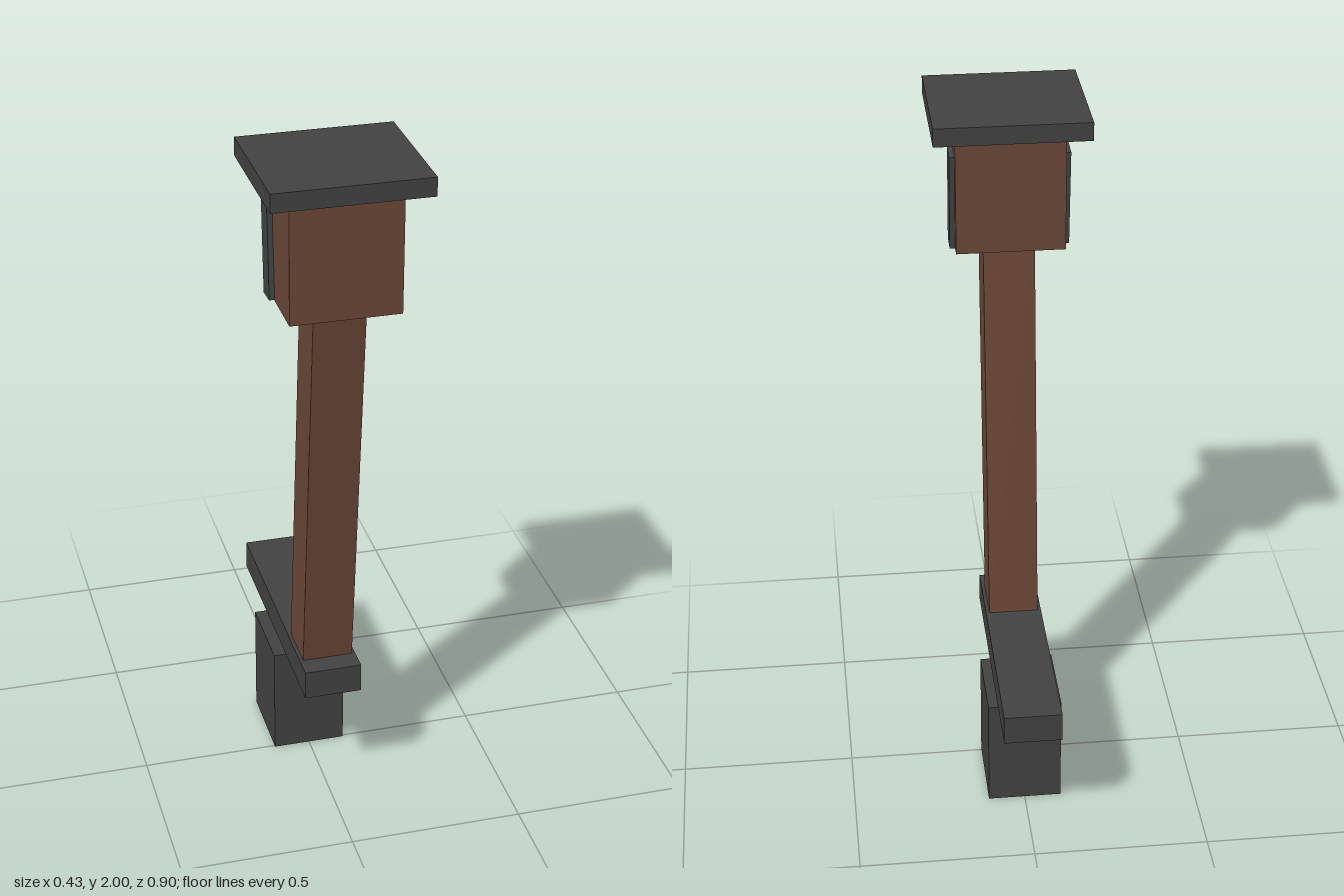
import * as THREE from 'three';

const mat = (name, color) => {
  const m = new THREE.MeshStandardMaterial({ color });
  m.name = name;
  return m;
};

export function createModel() {
  const model = new THREE.Group();
  model.name = 'post';
  const brown = mat('brown wood', 0x6b4737);
  const dark = mat('dark grey', 0x424242);
  const slate = mat('slate grey', 0x414545);

  // Box given by its lowest and highest corners
  const box = (name, material, [x0, y0, z0], [x1, y1, z1]) => {
    const mesh = new THREE.Mesh(new THREE.BoxGeometry(x1 - x0, y1 - y0, z1 - z0), material);
    mesh.position.set((x0 + x1) / 2, (y0 + y1) / 2, (z0 + z1) / 2);
    mesh.name = name;
    model.add(mesh);
    return mesh;
  };

  // Foot block and the long slab floating above it
  box('footBlock', dark, [-0.106, 0, -0.237], [0.106, 0.332, 0.006]);
  box('footSlab', dark, [-0.082, 0.363, -0.449], [0.082, 0.45, 0.28]);

  // Leaning shaft, its ends sunk into the slab and the head
  const lean = Math.atan2(0.109, 1.154);
  const shaft = box('shaft', brown, [-0.072, -0.62, -0.071], [0.072, 0.62, 0.071]);
  shaft.position.set(0, 1.03, 0.2);
  shaft.rotation.x = lean;

  // Head and its flat cap
  box('head', brown, [-0.151, 1.604, 0.127], [0.151, 1.932, 0.387]);
  box('cap', dark, [-0.214, 1.948, 0.061], [0.214, 2, 0.449]);

  // Tilted strips on both sides of the head
  for (const side of [1, -1]) {
    const strip = box(side > 0 ? 'leftStrip' : 'rightStrip', slate,
      [-0.0175, -0.14, -0.031], [0.0175, 0.14, 0.031]);
    strip.position.set(side * 0.148, 1.744, 0.189);
    strip.rotation.x = -0.078;
  }
  return model;
}
